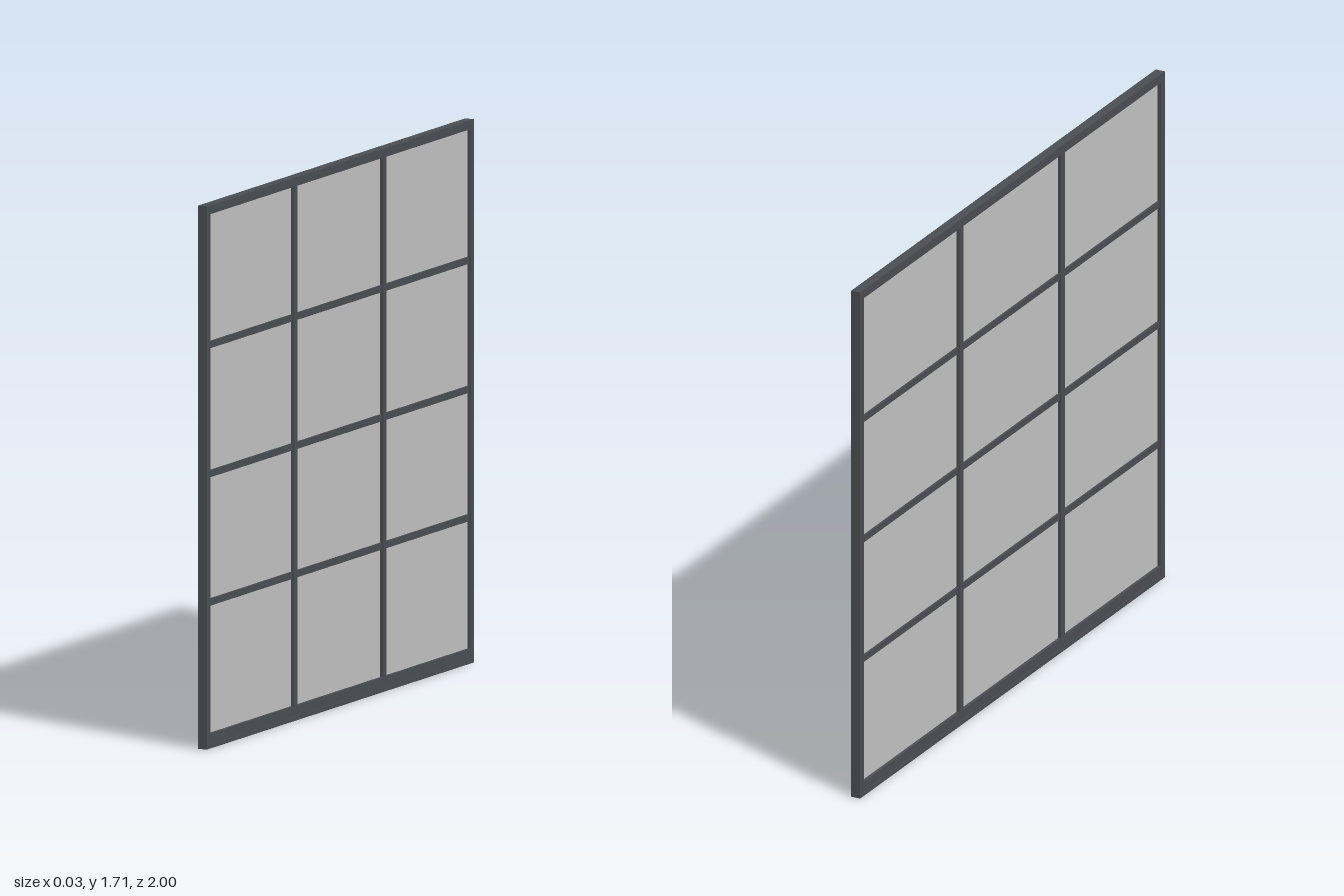
import * as THREE from 'three';

export function createModel() {
  const model = new THREE.Group();
  const frameMat = new THREE.MeshStandardMaterial({ color: 0x4a4d52 });
  frameMat.name = 'charcoal frame';
  const glassMat = new THREE.MeshStandardMaterial({ color: 0xc2c2c2 });
  glassMat.name = 'pale grey glass';

  const H = 1.705, DEPTH = 0.032, SIDE = 0.025, TOP = 0.028, BOTTOM = 0.046;

  // Box spanning a z range and a y range, centred on x = 0
  function bar(name, depth, z0, z1, y0, y1, material = frameMat) {
    const mesh = new THREE.Mesh(new THREE.BoxGeometry(depth, y1 - y0, z1 - z0), material);
    mesh.position.set(0, (y0 + y1) / 2, (z0 + z1) / 2);
    mesh.name = name;
    model.add(mesh);
  }

  // Outer frame: stiles between the head rail and the sill
  bar('headRail', DEPTH, -1, 1, H - TOP, H);
  bar('floorTrack', DEPTH, -1, 1, 0, 0.013);
  bar('sill', DEPTH - 0.004, -1 + SIDE, 1 - SIDE, 0.013, BOTTOM);
  bar('leftStile', DEPTH, 1 - SIDE, 1, 0.013, H - TOP);
  bar('rightStile', DEPTH, -1, -1 + SIDE, 0.013, H - TOP);

  // Two upright mullions
  const mullions = [-0.334, 0.334], half = 0.0125;
  for (const z of mullions) bar('mullion', DEPTH - 0.002, z - half, z + half, BOTTOM, H - TOP);

  // Three columns, each with four panes and three glazing bars
  const columns = [[-1 + SIDE, -0.334 - half], [-0.334 + half, 0.334 - half], [0.334 + half, 1 - SIDE]];
  const barHeights = [0.457, 0.86, 1.265], barHalf = 0.011;
  for (const [z0, z1] of columns) {
    let bottom = BOTTOM;
    for (const y of [...barHeights, H - TOP + barHalf]) {
      bar('glassPane', 0.008, z0, z1, bottom, y - barHalf, glassMat);
      bottom = y + barHalf;
    }
    for (const y of barHeights) bar('glazingBar', 0.02, z0, z1, y - barHalf, y + barHalf);
  }
  return model;
}
